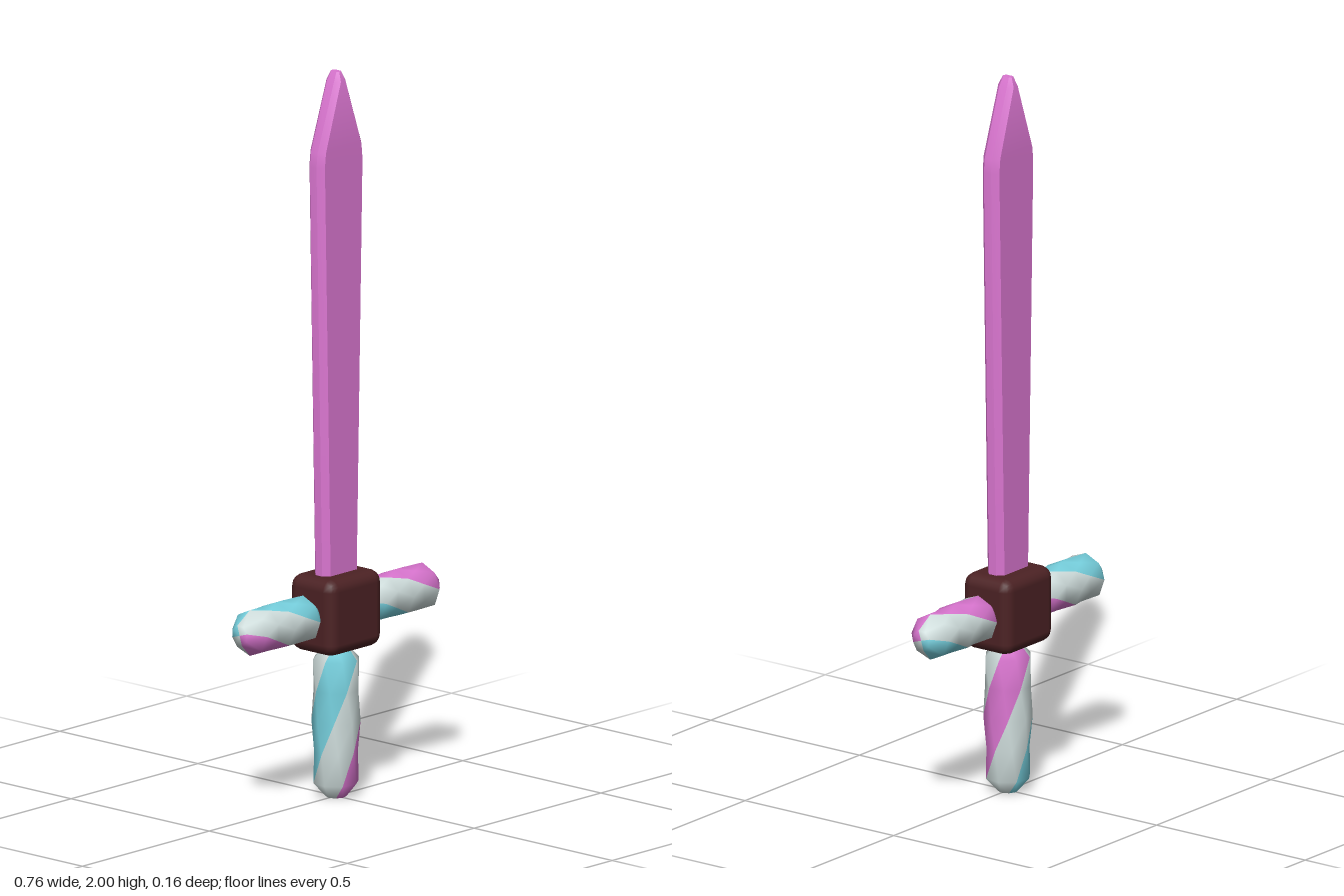
import * as THREE from 'three';
import { toCreasedNormals } from 'three/addons/utils/BufferGeometryUtils.js';
import { RoundedBoxGeometry } from 'three/addons/geometries/RoundedBoxGeometry.js';

const SIDES = 8;
const rad = THREE.MathUtils.degToRad;

function material(name, color) {
  const m = new THREE.MeshStandardMaterial({ color });
  m.name = name;
  return m;
}

// Skins eight-point rings stacked along y; one material group per pair of columns.
function loft(rings, columnMaterial) {
  const n = rings.length;
  const points = rings.flat();
  points.push([0, rings[0][0][1], 0], [0, rings[n - 1][0][1], 0]);
  const bottom = n * SIDES;
  const top = bottom + 1;
  const index = [];
  const geometry = new THREE.BufferGeometry();
  for (let j = 0; j < SIDES; j++) {
    const k = (j + 1) % SIDES;
    const start = index.length;
    index.push(bottom, k, j);
    for (let i = 0; i < n - 1; i++) {
      const a = i * SIDES + j, b = i * SIDES + k;
      const c = b + SIDES, d = a + SIDES;
      index.push(a, b, d, b, c, d);
    }
    index.push(top, (n - 1) * SIDES + j, (n - 1) * SIDES + k);
    if (columnMaterial) geometry.addGroup(start, index.length - start, columnMaterial[j]);
  }
  geometry.setAttribute('position', new THREE.Float32BufferAttribute(points.flat(), 3));
  geometry.setIndex(index);
  geometry.computeVertexNormals();
  return geometry;
}

// Striped rope-like stick with tapered ends, centred on the origin along y.
function twistedStick(half, degreesPerUnit, phase) {
  const body = half - 0.04;
  const steps = 4;
  const stations = [[-half, 0.028]];
  for (let i = 0; i <= steps; i++) {
    const t = (i / steps) * 2 - 1;
    stations.push([t * body, i % 2 ? 0.0605 : 0.066 - 0.003 * t * t]);
  }
  stations.push([half, 0.028]);
  const rings = stations.map(([y, r]) =>
    Array.from({ length: SIDES }, (_, j) => {
      const angle = rad(phase + y * degreesPerUnit + j * 45);
      const radius = r * (1 - 0.03 * Math.cos(rad(j * 90)));
      return [radius * Math.sin(angle), y, radius * Math.cos(angle)];
    }));
  return loft(rings, [0, 1, 1, 2, 2, 1, 1, 0]);
}

// Flat blade with chamfered edges, widening upward to a blunt point.
function bladeGeometry() {
  const sections = [ // height, half width, half thickness
    [0.55, 0.066, 0.028], [1.75, 0.09, 0.028], [1.79, 0.086, 0.028],
    [1.975, 0.022, 0.026], [2, 0.009, 0.015],
  ];
  const rings = sections.map(([y, w, t]) => {
    const c = Math.min(0.016, w * 0.6, t * 0.6);
    return [[w - c, y, t], [w, y, t - c], [w, y, c - t], [w - c, y, -t],
      [c - w, y, -t], [-w, y, c - t], [-w, y, t - c], [c - w, y, t]];
  });
  return toCreasedNormals(loft(rings), 0.6);
}

export function createModel() {
  const model = new THREE.Group();
  model.name = 'sword';
  const pink = material('pink', 0xdb76d1);
  const white = material('pale white', 0xd0dedd);
  const cyan = material('light cyan', 0x78d2e0);
  const brown = material('dark brown', 0x4c2224);
  const stripes = [pink, white, cyan];

  function add(name, geometry, mat, x, y) {
    const mesh = new THREE.Mesh(geometry, mat);
    mesh.name = name;
    mesh.position.set(x, y, 0);
    model.add(mesh);
    return mesh;
  }

  add('blade', bladeGeometry(), pink, 0, 0);
  add('guardBlock', new RoundedBoxGeometry(0.21, 0.21, 0.16, 2, 0.032), brown, 0, 0.515);
  add('handle', twistedStick(0.21, 400, 82), stripes, 0, 0.21);

  // Cross guard arms
  for (const [name, side] of [['leftGuardArm', 1], ['rightGuardArm', -1]]) {
    const arm = add(name, twistedStick(0.145, 430, -90 * side), stripes, 0.235 * side, 0.515);
    arm.rotation.z = -Math.PI / 2;
  }
  return model;
}
